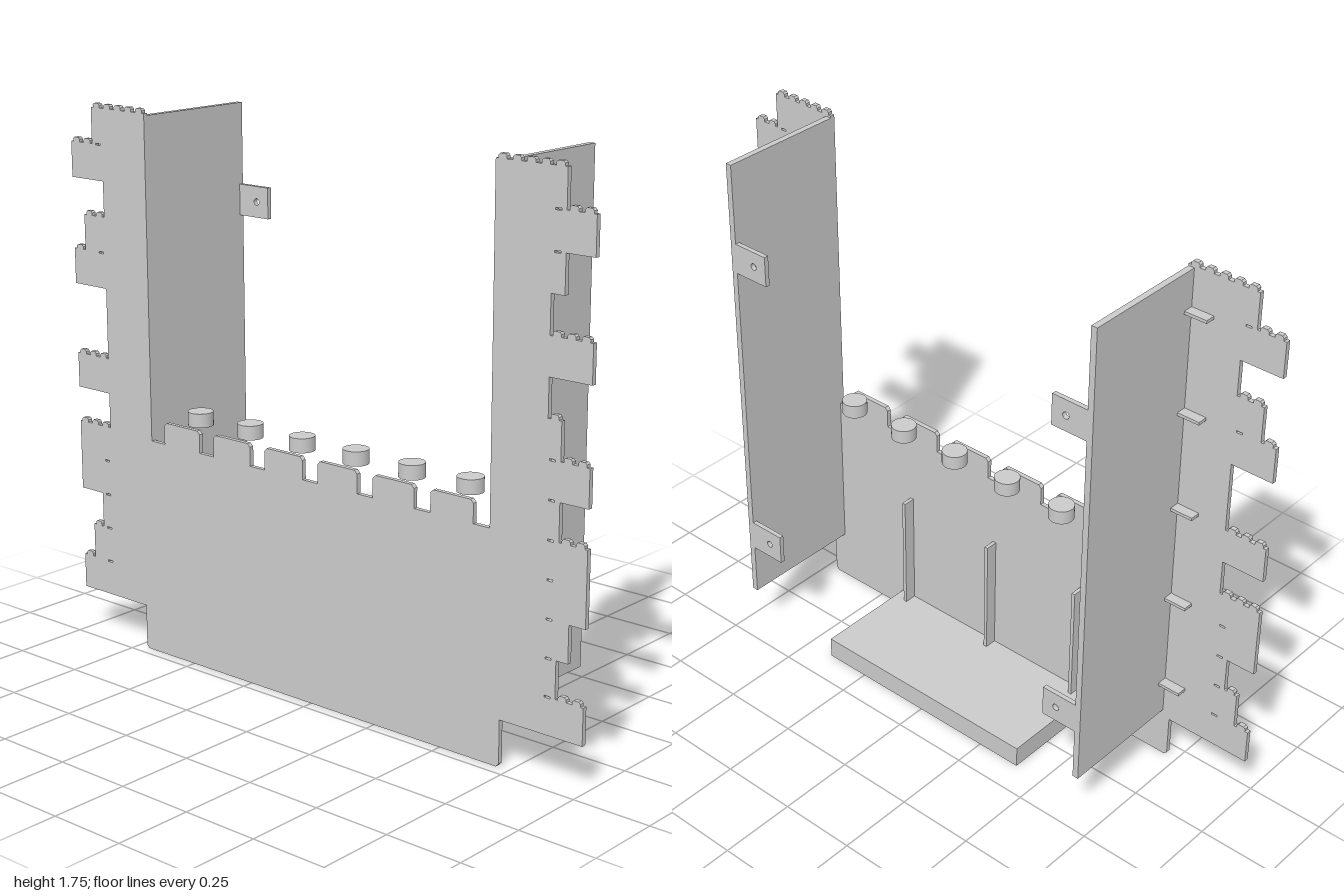
import * as THREE from 'three';

const mat = new THREE.MeshStandardMaterial({ color: 0xcccccc, flatShading: true });
const smooth = new THREE.MeshStandardMaterial({ color: 0xcccccc });

// Brick rows of each tower: outer reach of every row, bottom to top
const ROWS_LEFT = [1, .905, .945, 1, 1, .905, 1, .905, .86, 1, .86, .905, 1, .905];
const ROWS_RIGHT = [1, .95, .905, 1, 1, .86, 1, .86, .86, 1, .95, .86, 1, .905];
const ROW_Y = 0.145, ROW_H = 0.1137;
const INNER = 0.67;

function add(group, name, geometry, x = 0, y = 0, z = 0, material = mat) {
  const mesh = new THREE.Mesh(geometry, material);
  mesh.name = name;
  mesh.position.set(x, y, z);
  group.add(mesh);
  return mesh;
}

// Box given by its minimum and maximum corners
function box(group, name, x0, x1, y0, y1, z0, z1) {
  return add(group, name, new THREE.BoxGeometry(x1 - x0, y1 - y0, z1 - z0),
    (x0 + x1) / 2, (y0 + y1) / 2, (z0 + z1) / 2);
}

function rectShape(x0, x1, y0, y1) {
  return new THREE.Shape([[x0, y0], [x1, y0], [x1, y1], [x0, y1]].map(p => new THREE.Vector2(...p)));
}

function roundHole(shape, x, y, r) {
  const hole = new THREE.Path();
  hole.absarc(x, y, r, 0, Math.PI * 2, true);
  shape.holes.push(hole);
}

const extrude = (shape, depth) =>
  new THREE.ExtrudeGeometry(shape, { depth, bevelEnabled: false, curveSegments: 10 });

// Small studs along an exposed brick top, running inward from x = a to x = b
function studs(a, b, y) {
  const n = Math.max(1, Math.round((a - b) / 0.047)), pitch = (a - b) / n, h = 0.014;
  const pts = [];
  for (let i = 0; i < n; i++) {
    for (const [t, v] of [[.2, 0], [.2, .6], [.32, 1], [.68, 1], [.8, .6], [.8, 0]]) {
      pts.push([a - (i + t) * pitch, y + v * h]);
    }
  }
  return pts;
}

// Half outline from the foot, up the tower's bricks, over the battlements to the middle
function halfOutline(rows) {
  const pts = [[0.705, 0], [0.715, 0.01], [0.715, ROW_Y]];
  rows.forEach((w, i) => {
    const y = ROW_Y + i * ROW_H, top = y + ROW_H;
    const next = i + 1 < rows.length ? rows[i + 1] : INNER;
    if (i === 0 || rows[i - 1] !== w) pts.push([w, y]);
    if (next !== w) pts.push([w, top]);
    if (next < w) pts.push(...studs(w, next, top));
  });
  pts.push([INNER, ROW_Y + rows.length * ROW_H], [INNER, 0.705]);
  for (const c of [0.535, 0.321, 0.107]) {
    pts.push([c + .077, .705], [c + .077, .765], [c + .067, .775],
      [c - .067, .775], [c - .077, .765], [c - .077, .705]);
  }
  return pts;
}

// Narrow seam slots between stacked bricks that both reach far out
function addSeams(shape, rows, s) {
  for (let i = 0; i + 1 < rows.length; i++) {
    if (Math.min(rows[i], rows[i + 1]) < 0.9) continue;
    const y = ROW_Y + (i + 1) * ROW_H;
    shape.holes.push(new THREE.Path(rectShape(s * .868, s * .888, y - .003, y + .003).getPoints()));
  }
}

export function createModel() {
  const model = new THREE.Group();
  model.name = 'castleFrontStand';

  // Castle front plate
  const right = halfOutline(ROWS_RIGHT).map(([x, y]) => [-x, y]).reverse();
  const front = new THREE.Shape(
    [...halfOutline(ROWS_LEFT), ...right].map(([x, y]) => new THREE.Vector2(x, y)));
  addSeams(front, ROWS_LEFT, 1);
  addSeams(front, ROWS_RIGHT, -1);
  add(model, 'castleFront', extrude(front, 0.015), 0, 0, 0.2);

  // Shelf: drilled lower layer under a solid top layer
  const shelf = new THREE.Group();
  shelf.name = 'shelf';
  const base = rectShape(-0.4, 0.4, -0.2, 0.15);
  for (const s of [-1, 1]) {
    roundHole(base, s * 0.33, 0.045, 0.009);
    roundHole(base, s * 0.18, 0.075, 0.013);
  }
  add(shelf, 'shelfBottom', extrude(base, 0.05)).rotation.x = -Math.PI / 2;
  box(shelf, 'shelfTop', -0.4, 0.4, 0.05, 0.07, -0.15, 0.2);
  model.add(shelf);

  // Stiffening ribs behind the front
  for (const x of [-0.355, 0, 0.355]) box(model, 'rib', x - .006, x + .006, 0.07, 0.47, 0.16, 0.2);

  for (const s of [-1, 1]) {
    const span = (a, b) => (s > 0 ? [a, b] : [-b, -a]);
    const sideName = s > 0 ? 'left' : 'right';

    // Side wall
    box(model, sideName + 'Wall', ...span(0.67, 0.69), 0.17, 1.73, -0.215, 0.2);

    // Mounting tabs with a screw hole
    for (const y of [0.345, 1.37]) {
      const tab = rectShape(...span(0.548, 0.67), y, y + 0.1);
      roundHole(tab, s * 0.597, y + 0.05, 0.011);
      add(model, sideName + 'MountingTab', extrude(tab, 0.015), 0, 0, -0.215);
    }

    // Brackets outside the wall
    for (let i = 0; i < 5; i++) {
      const y = 0.293 + i * 0.328;
      box(model, sideName + 'Bracket', ...span(0.69, 0.765), y - .005, y + .005, 0.167, 0.2);
    }

    // Round buttons behind the battlements
    for (const x of [0.107, 0.321, 0.535]) {
      add(model, sideName + 'Button', new THREE.CylinderGeometry(.04, .04, .045, 32),
        s * x, 0.7875, 0.13, smooth);
    }
  }
  return model;
}
